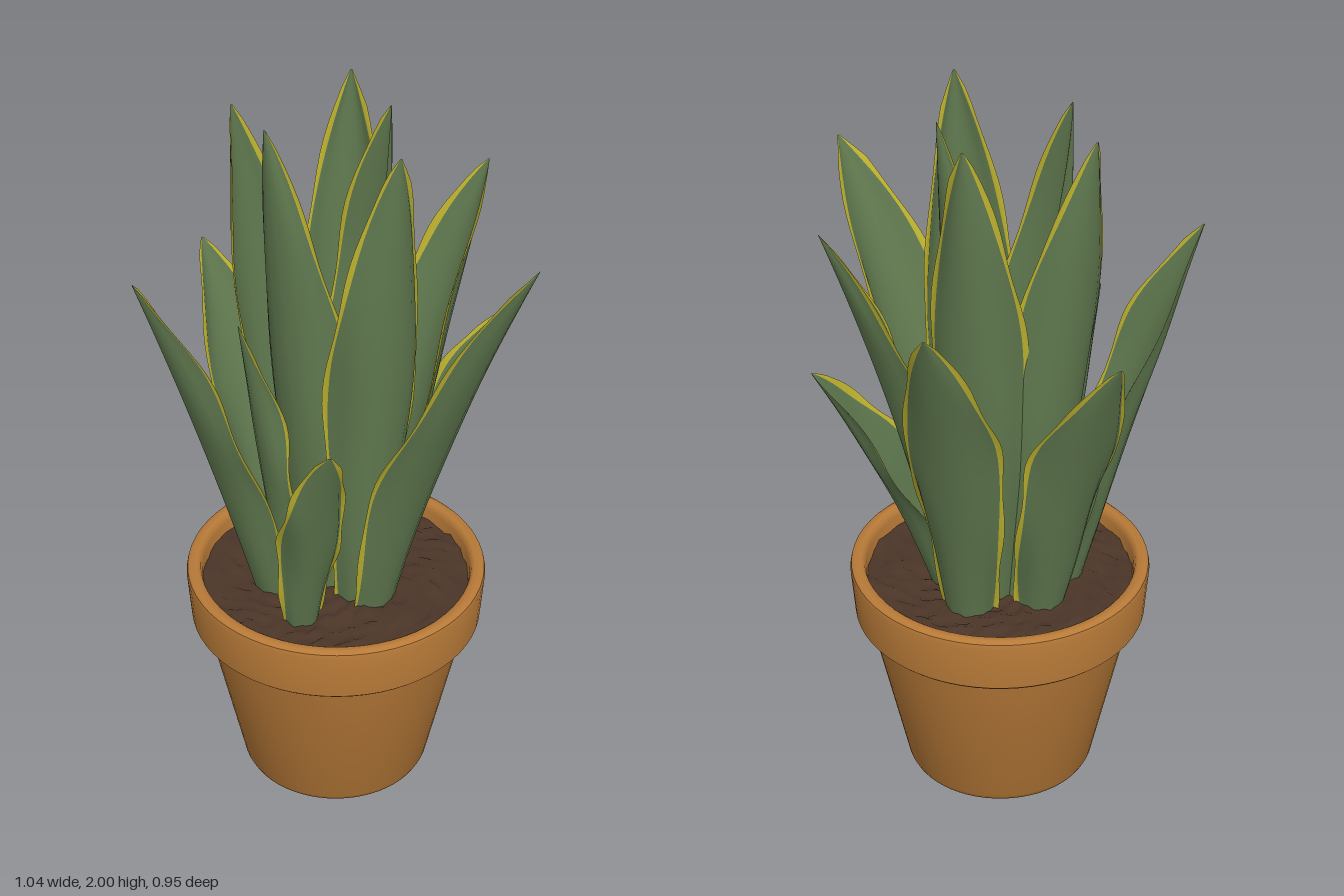
import * as THREE from 'three';
import { toCreasedNormals } from 'three/addons/utils/BufferGeometryUtils.js';

const mat = (name, color, side = THREE.FrontSide) => {
  const m = new THREE.MeshStandardMaterial({ color, side });
  m.name = name;
  return m;
};

// Cupped, pointed blade swept along a curve from base to tip, hollow side facing the plant's middle
function leafGeometry({ base, tip, half, out, lean = 0.36, cup = 1.0, edge = 0.011, seed = 0 }) {
  const ROWS = 32;
  const US = [-1, -1, -0.75, -0.5, -0.25, 0, 0.25, 0.5, 0.75, 1, 1];
  const n = US.length;
  const a = new THREE.Vector3(base[0], 0.56, base[1]);
  const c = new THREE.Vector3(...tip);
  const b = a.clone().lerp(c, lean);
  b.y = THREE.MathUtils.lerp(a.y, c.y, 0.52);
  const curve = new THREE.QuadraticBezierCurve3(a, b, c);
  const outward = new THREE.Vector3(Math.cos(out), 0, Math.sin(out));
  const pos = [];
  for (let i = 0; i <= ROWS; i++) {
    const t = i / ROWS;
    const p = curve.getPoint(t);
    const tan = curve.getTangent(t);
    const side = tan.clone().cross(outward).normalize();
    const inward = tan.clone().cross(side).normalize();
    if (inward.dot(outward) > 0) inward.negate();
    const peak = 0.55;
    const f = t < peak
      ? 0.52 + 0.48 * Math.sin((t / peak) * Math.PI / 2)
      : 1 - Math.pow((t - peak) / (1 - peak), 1.85);
    const w = half * f + 0.002;
    const A = THREE.MathUtils.lerp(1.5, cup, t);
    US.forEach((u, j) => {
      const ripple = 0.014 * u * u * f * Math.sin(t * 12 + seed + u * 1.5);
      // The margin flares sideways beyond the cupped blade, with an uneven width
      const flare = j === 0 || j === n - 1
        ? u * Math.min(edge * (1 + 0.35 * Math.sin(t * 23 + seed + u)), w * 0.5) : 0;
      const v = p.clone()
        .addScaledVector(side, w * Math.sin(u * A) / Math.sin(A) + flare)
        .addScaledVector(inward, w * (1 - Math.cos(u * A)) / Math.sin(A) + ripple + Math.abs(flare) * 0.4);
      pos.push(v.x, v.y, v.z);
    });
  }
  // Outermost columns form the yellow margins
  const blade = [], margin = [];
  for (let i = 0; i < ROWS; i++) {
    for (let j = 0; j < n - 1; j++) {
      const q = i * n + j;
      const list = j === 0 || j === n - 2 ? margin : blade;
      list.push(q, q + 1, q + n, q + 1, q + n + 1, q + n);
    }
  }
  const g = new THREE.BufferGeometry();
  g.setAttribute('position', new THREE.Float32BufferAttribute(pos, 3));
  g.setIndex([...blade, ...margin]);
  g.addGroup(0, blade.length, 0);
  g.addGroup(blade.length, margin.length, 1);
  g.computeVertexNormals();
  return g;
}

export function createModel() {
  const group = new THREE.Group();
  const terracotta = mat('terracotta', 0xb87a38);
  const soilBrown = mat('soil brown', 0x4b3528);
  const hollow = mat('dark hollow', 0x3d2d24);
  const leafGreen = mat('leaf green', 0x60794f, THREE.DoubleSide);
  const edgeYellow = mat('margin yellow', 0xc0b430, THREE.DoubleSide);
  const add = (name, geometry, material, x = 0, y = 0, z = 0) => {
    const m = new THREE.Mesh(geometry, material);
    m.name = name;
    m.position.set(x, y, z);
    group.add(m);
  };
  const CX = 0.012, CZ = 0.005;

  // Tapered pot with a thick rim
  const profile = [
    [0.17, 0.03], [0.17, 0], [0.245, 0], [0.258, 0.006], [0.265, 0.02],
    [0.368, 0.5], [0.395, 0.5], [0.403, 0.508], [0.413, 0.64], [0.41, 0.654],
    [0.4, 0.661], [0.383, 0.661], [0.374, 0.654], [0.37, 0.64], [0.362, 0.56],
  ].map(([r, y]) => new THREE.Vector2(r, y));
  add('pot', toCreasedNormals(new THREE.LatheGeometry(profile, 64), 0.7), terracotta, CX, 0, CZ);

  // Opening beneath the pot
  const hole = new THREE.CircleGeometry(0.172, 40);
  hole.rotateX(Math.PI / 2);
  add('drainHole', hole, hollow, CX, 0.006, CZ);

  // Lumpy soil
  const soil = new THREE.RingGeometry(0.001, 0.37, 72, 20);
  soil.rotateX(-Math.PI / 2);
  const sp = soil.attributes.position;
  for (let i = 0; i < sp.count; i++) {
    const x = sp.getX(i), z = sp.getZ(i);
    sp.setY(i, 0.011 * Math.sin(x * 61 + 2 * Math.sin(z * 41)) * Math.cos(z * 67 + 2 * Math.sin(x * 37)));
  }
  soil.computeVertexNormals();
  add('soil', soil, soilBrown, CX, 0.61, CZ);

  // Leaves: base [x, z], tip [x, y, z], half width, outward heading in the xz plane
  const leaves = [
    // tall inner leaves
    { base: [-0.07, 0], tip: [-0.17, 2, -0.02], half: 0.13, out: 2.95, lean: 0.9, cup: 1.25 },
    { base: [0.11, 0], tip: [0.18, 1.99, -0.04], half: 0.125, out: 0, lean: 0.85, cup: 1.25 },
    { base: [0.05, 0.15], tip: [0.075, 2, 0.25], half: 0.115, out: 1.5, lean: 0.75, cup: 1.15 },
    { base: [0.08, -0.12], tip: [0.16, 2, -0.25], half: 0.11, out: -1.1, lean: 0.75, cup: 1.1 },
    { base: [-0.05, -0.12], tip: [-0.18, 1.98, -0.22], half: 0.115, out: -2.0, lean: 0.75, cup: 1.1 },
    // spreading outer leaves
    { base: [-0.2, -0.03], tip: [-0.52, 1.635, -0.035], half: 0.11, out: Math.PI, lean: 0.45 },
    { base: [0.1, 0.16], tip: [0.345, 1.75, 0.47], half: 0.13, out: 0.95, cup: 0.7, edge: 0.014 },
    { base: [0.17, -0.03], tip: [0.49, 1.75, -0.105], half: 0.115, out: -0.15, edge: 0.016 },
    { base: [0.19, 0.03], tip: [0.515, 1.325, -0.035], half: 0.09, out: 0.15, edge: 0.018 },
    { base: [-0.15, 0.17], tip: [-0.16, 1.28, 0.375], half: 0.073, out: 1.7, lean: 0.45 },
    { base: [0.15, -0.18], tip: [0.305, 1.63, -0.475], half: 0.11, out: -1.1, cup: 0.8 },
    { base: [-0.08, -0.19], tip: [-0.185, 1.48, -0.46], half: 0.11, out: -1.8, cup: 0.8 },
    // short filler leaves
    { base: [-0.15, 0.02], tip: [-0.257, 1.475, 0], half: 0.075, out: Math.PI, lean: 0.5 },
    { base: [0.15, -0.12], tip: [0.26, 1.325, -0.28], half: 0.085, out: -0.95, lean: 0.5 },
  ];
  leaves.forEach((leaf, i) =>
    add(`leaf${i + 1}`, leafGeometry({ ...leaf, seed: i * 1.9 }), [leafGreen, edgeYellow]));

  return group;
}
